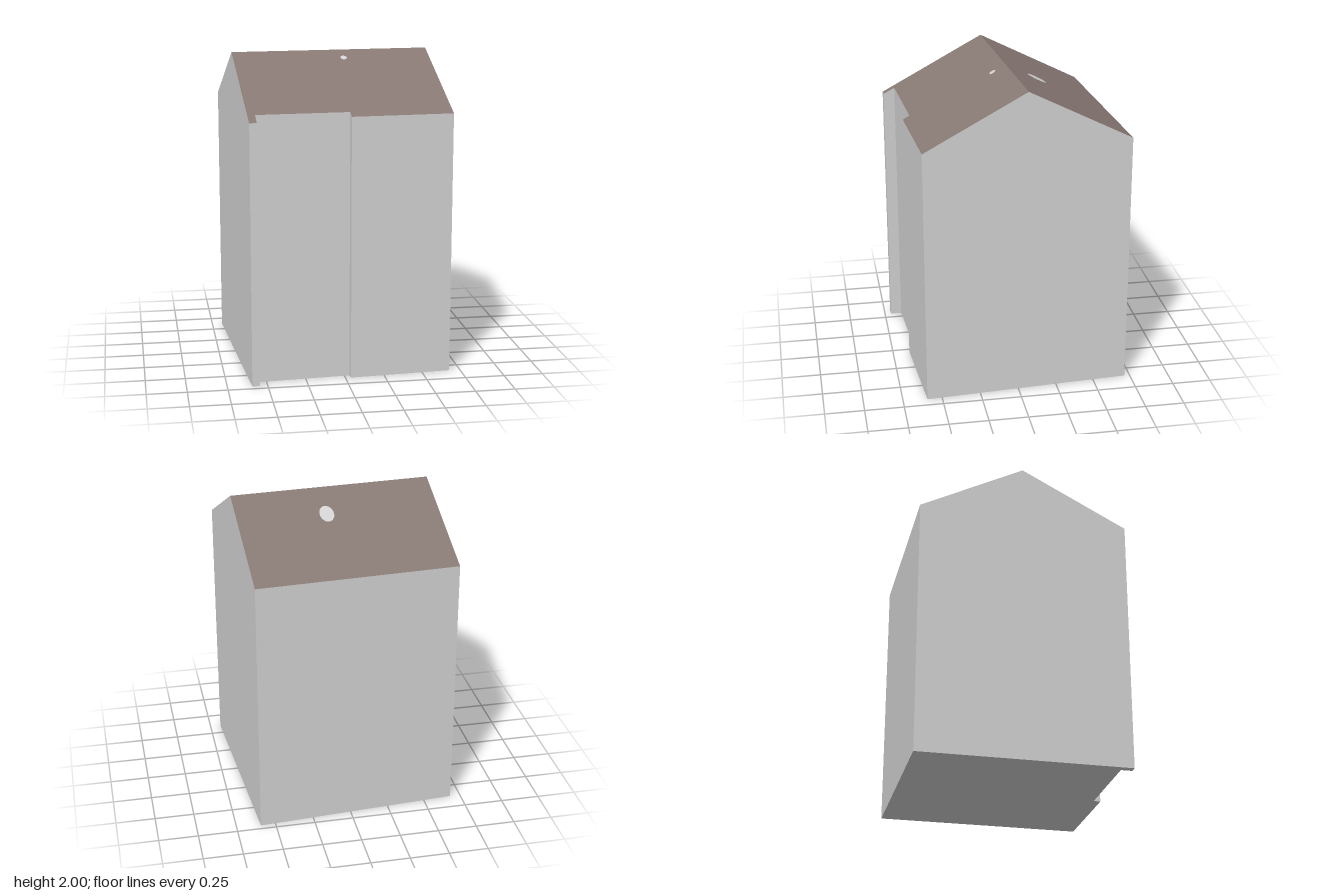
import * as THREE from 'three';

const wallMat = new THREE.MeshStandardMaterial({ color: 0xd3d3d3 });
wallMat.name = 'pale grey walls';
const roofMat = new THREE.MeshStandardMaterial({ color: 0x887974 });
roofMat.name = 'brown roof';

// Footprint as [x, z], in two halves that share the ridge line
const ridgeL = [-0.64, 0.035], ridgeR = [0.637, -0.055];
const front = [
  [-0.596, 0.71], [-0.55, 0.707], [-0.553, 0.635],
  [0.032, 0.596], [0.035, 0.64], [0.68, 0.595],
];
const back = [[0.595, -0.715], [-0.682, -0.628]];

// Roof height falls with distance from the ridge
const ridgeDist = (x, z) => 0.0703 * x + 0.9975 * z + 0.01;
const slope = 0.519;
const roofY = (x, z) => 2 - slope * Math.abs(ridgeDist(x, z));

// Upright walls along a closed outline, cut off by the roof planes
function wallGeometry(outline) {
  const pos = [];
  outline.forEach(([ax, az], i) => {
    const [bx, bz] = outline[(i + 1) % outline.length];
    const ay = roofY(ax, az), by = roofY(bx, bz);
    pos.push(ax, 0, az, bx, 0, bz, bx, by, bz);
    pos.push(ax, 0, az, bx, by, bz, ax, ay, az);
  });
  const g = new THREE.BufferGeometry();
  g.setAttribute('position', new THREE.Float32BufferAttribute(pos, 3));
  g.computeVertexNormals();
  return g;
}

// Flat sheet over an outline, lifted onto the roof slope
function roofGeometry(outline) {
  const g = new THREE.ShapeGeometry(new THREE.Shape(outline.map(([x, z]) => new THREE.Vector2(x, -z))));
  g.rotateX(-Math.PI / 2);
  const p = g.attributes.position;
  for (let i = 0; i < p.count; i++) p.setY(i, roofY(p.getX(i), p.getZ(i)));
  g.computeVertexNormals();
  return g;
}

export function createModel() {
  const group = new THREE.Group();
  group.name = 'house';
  const add = (name, geometry, material) => {
    const mesh = new THREE.Mesh(geometry, material);
    mesh.name = name;
    group.add(mesh);
    return mesh;
  };

  const outline = [ridgeL, ...front, ridgeR, ...back];
  add('walls', wallGeometry(outline), wallMat);

  const floor = new THREE.ShapeGeometry(new THREE.Shape(outline.map(([x, z]) => new THREE.Vector2(x, z))));
  floor.rotateX(Math.PI / 2);
  add('floor', floor, wallMat);

  add('frontRoof', roofGeometry([ridgeL, ...front, ridgeR]), roofMat);
  add('backRoof', roofGeometry([ridgeR, ...back, ridgeL]), roofMat);

  // Small pale spots lying on the roof slopes
  const spot = (name, x, z, rx, rz) => {
    const g = new THREE.CircleGeometry(1, 24);
    g.rotateX(-Math.PI / 2);
    g.scale(rx, 1, rz);
    g.translate(x, 0, z);
    const p = g.attributes.position;
    for (let i = 0; i < p.count; i++) p.setY(i, roofY(p.getX(i), p.getZ(i)) + 0.003);
    g.computeVertexNormals();
    add(name, g, wallMat);
  };
  spot('backRoofSpot', 0.062, -0.217, 0.046, 0.058);
  spot('frontRoofSpot', 0.076, 0.072, 0.021, 0.019);

  return group;
}
